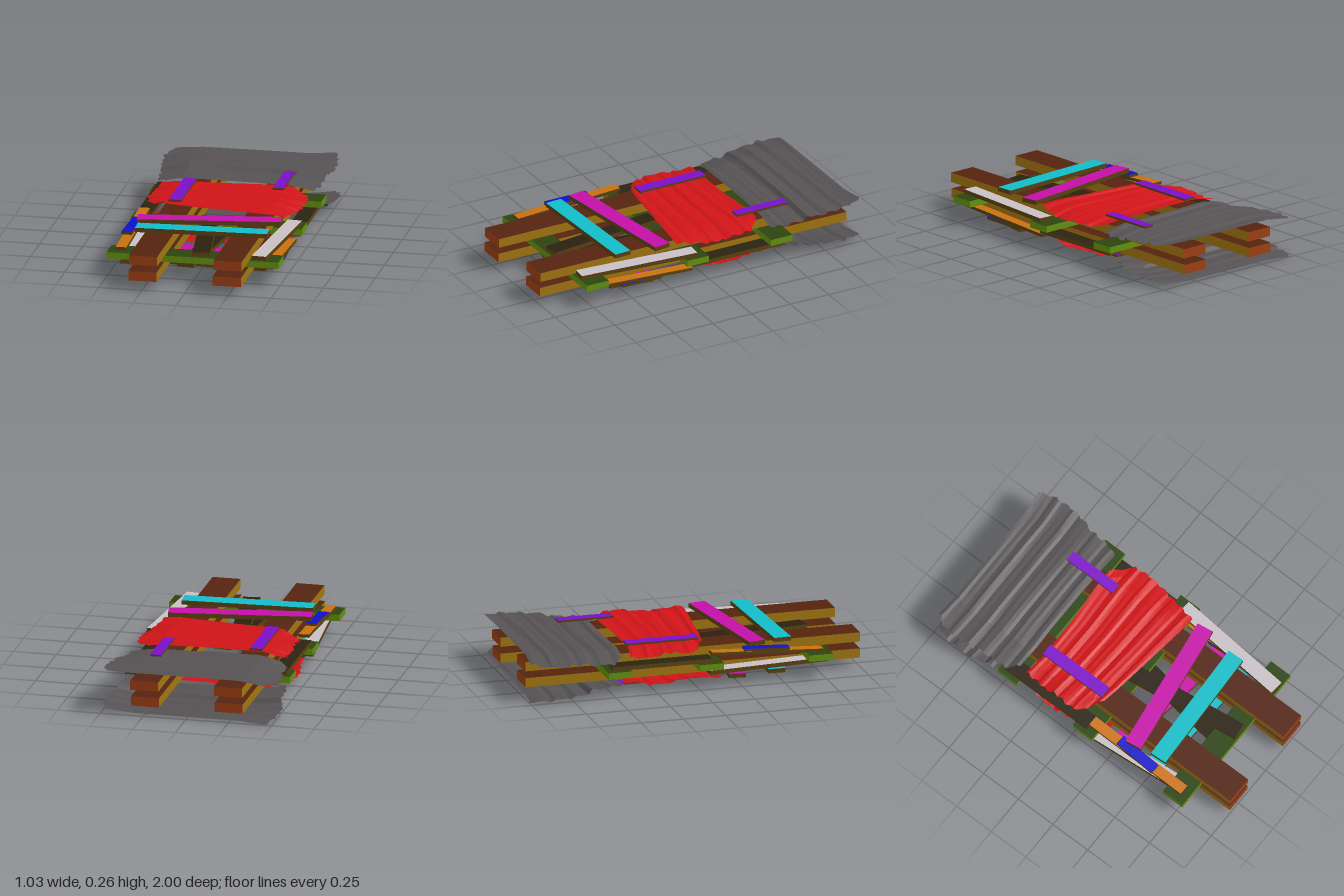
import * as THREE from 'three';

const EDGE = 0x5a4012;
const mat = (color, extra = {}) => new THREE.MeshStandardMaterial({ color, ...extra });

// box with separate colours for its sides, broad faces and ends
function block(name, w, h, d, face, side = EDGE, end = side) {
  const s = mat(side), f = mat(face), e = mat(end);
  const mesh = new THREE.Mesh(new THREE.BoxGeometry(w, h, d), [s, s, f, f, e, e]);
  mesh.name = name;
  return mesh;
}

// plank laid between two end points
function plank(name, a, b, width, thick, color) {
  const p = new THREE.Vector3(...a), q = new THREE.Vector3(...b);
  const mesh = block(name, width, thick, p.distanceTo(q), color);
  mesh.position.copy(p).add(q).multiplyScalar(0.5);
  mesh.lookAt(q);
  return mesh;
}

// piecewise linear lookup over evenly spaced values
function sample(list, t) {
  const f = t * (list.length - 1), i = Math.min(Math.floor(f), list.length - 2);
  return THREE.MathUtils.lerp(list[i], list[i + 1], f - i);
}

// crumpled sheet: outline from edge lists, height from a rule
function sheet(name, color, o) {
  const g = new THREE.PlaneGeometry(1, 1, 12, 28).rotateX(-Math.PI / 2);
  const p = g.attributes.position;
  for (let i = 0; i < p.count; i++) {
    const u = p.getX(i) + 0.5, v = p.getZ(i) + 0.5;
    const out = Math.abs(u - 0.5) * 2;
    const ragged = Math.pow(out, 6) * 0.008 * Math.sin(v * 47);
    const x = THREE.MathUtils.lerp(sample(o.left, v), sample(o.right, v), u) + ragged;
    const z = THREE.MathUtils.lerp(sample(o.back, u), sample(o.front, u), v);
    const bend = Math.max(0, (Math.abs(x) - 0.32) / 0.16);
    p.setXYZ(i, x, o.height(v, u) + bend * o.droop(v, u), z);
  }
  g.computeVertexNormals();
  const mesh = new THREE.Mesh(g, mat(color, { side: THREE.DoubleSide, flatShading: true }));
  mesh.name = name;
  return mesh;
}

const ripple = (v, u) => 0.005 * Math.sin(v * 34 + u) + 0.003 * Math.sin(v * 61 + 2 * u);

function buildLayer() {
  const layer = new THREE.Group();

  // long beams
  for (const x of [-0.243, 0.247]) {
    const beam = block('longBeam', 0.164, 0.055, 1.985, 0x54240f, 0xa07410, 0x9c3e14);
    beam.position.set(x, 0.1825, 0.0075);
    layer.add(beam);
  }

  // loose boards between and outside the beams
  layer.add(
    plank('centreBoard', [0.046, 0.17, 0.775], [-0.046, 0.17, 0.07], 0.1, 0.024, 0x2a2010),
    plank('rearSideBoard', [-0.428, 0.168, 0.08], [-0.428, 0.168, -0.51], 0.09, 0.024, 0x2c2412),
    plank('paleSideBoard', [0.383, 0.17, 0.78], [0.443, 0.172, 0.065], 0.085, 0.024, 0xc8c0c4),
    plank('orangeSideBoard', [-0.425, 0.166, 0.745], [-0.425, 0.2, 0.085], 0.062, 0.018, 0xc87010),
    plank('blueBoard', [-0.435, 0.195, 0.543], [-0.42, 0.205, 0.28], 0.062, 0.016, 0x1010c8),
    plank('wideCrossBoard', [-0.408, 0.228, 0.365], [0.404, 0.228, 0.25], 0.1, 0.025, 0xc410a8),
    plank('frontCrossBoard', [-0.382, 0.228, 0.525], [0.378, 0.228, 0.492], 0.1, 0.025, 0x12bcc8),
    plank('leftStrap', [-0.258, 0.249, 0.05], [-0.258, 0.249, -0.375], 0.073, 0.012, 0x7a10c8),
    plank('rightStrap', [0.27, 0.249, -0.29], [0.27, 0.249, -0.62], 0.062, 0.012, 0x7a10c8),
  );

  // red sheet over the middle
  layer.add(sheet('redSheet', 0xd01418, {
    left: [-0.43, -0.43, -0.44, -0.43, -0.44, -0.42, -0.3],
    right: [0.34, 0.45, 0.46, 0.455, 0.44, 0.42, 0.4],
    back: [-0.39, -0.37, -0.37, -0.37, -0.38, -0.39, -0.39],
    front: [0.07, 0.09, 0.105, 0.12, 0.135, 0.15, 0.16],
    height: (v, u) => 0.236 + ripple(v, u) * 0.8,
    droop: (v, u) => -0.03 - 0.012 * Math.sin(v * 9 + u * 2),
  }));

  // grey sheet at the rear, with a step fold
  layer.add(sheet('greySheet', 0x565254, {
    left: [-0.46, -0.5, -0.508, -0.505, -0.495, -0.48, -0.475, -0.475, -0.42],
    right: [0.46, 0.49, 0.5, 0.503, 0.495, 0.475, 0.47, 0.465, 0.44],
    back: [-0.995, -0.98, -0.98, -0.98, -0.98, -0.98, -0.995],
    front: [-0.44, -0.43, -0.435, -0.435, -0.435, -0.43, -0.43],
    height: (v, u) => (v < 0.63 ? 0.25 : 0.235) + ripple(v, u) + 0.006 * (0.5 - u),
    droop: (v, u) => (u < 0.5 ? -0.02 : 0.012) - (u < 0.5 ? 0.025 : 0.045) * v,
  }));
  return layer;
}

export function createModel() {
  const model = new THREE.Group();
  model.name = 'stackedPallet';

  // green crossbars in the middle plane
  for (const z of [-0.472, 0.07, 0.72]) {
    const bar = block('crossbar', 0.996, 0.038, 0.14, 0x2c4410, 0x62900f);
    bar.position.set(0, 0.1355, z);
    model.add(bar);
  }

  // upper layer, and the same layer turned over beneath
  const upper = buildLayer();
  upper.name = 'upperLayer';
  const lower = buildLayer();
  lower.name = 'lowerLayer';
  lower.rotation.z = Math.PI;
  lower.position.y = 0.271;
  model.add(upper, lower);
  return model;
}
